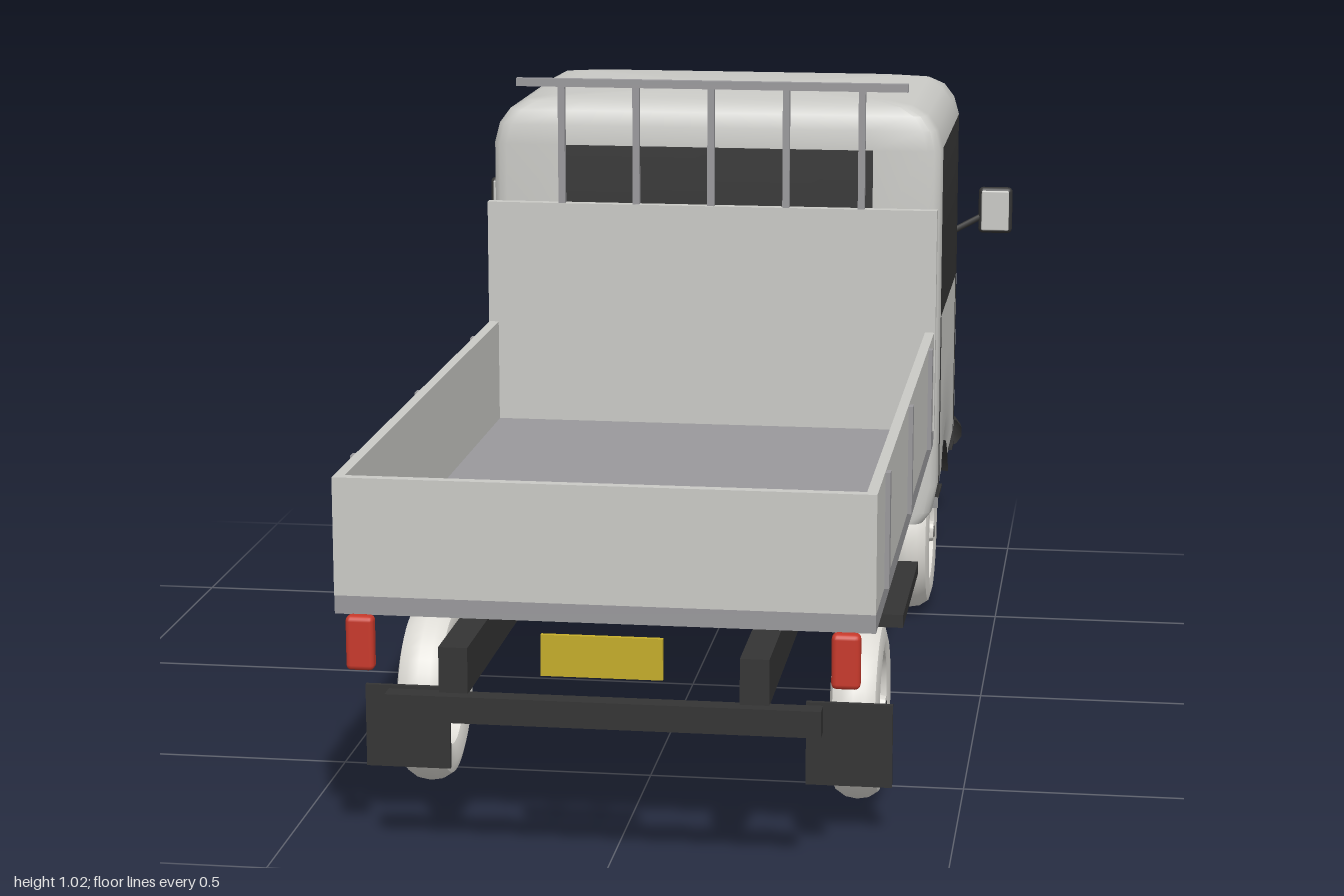
import * as THREE from 'three';
import { toCreasedNormals } from 'three/addons/utils/BufferGeometryUtils.js';
import { RoundedBoxGeometry } from 'three/addons/geometries/RoundedBoxGeometry.js';

const mat = (name, color, side = THREE.FrontSide) => {
  const m = new THREE.MeshStandardMaterial({ color, side });
  m.name = name;
  return m;
};
const paint = mat('body paint', 0xcacac6, THREE.DoubleSide);
const dark = mat('dark trim', 0x343434, THREE.DoubleSide);
const steel = mat('grey steel', 0x9a999c);
const white = mat('wheel white', 0xdedcd6);
const yellow = mat('yellow', 0xc5ad2a);
const red = mat('red lens', 0xc8392b);

// Cab shell: stacked horizontal rings [y, half width, rear z, front z]
const ROWS = [
  [0.23, 0.375, -0.29, -0.87], [0.25, 0.39, -0.29, -0.915], [0.3, 0.4, -0.29, -0.935],
  [0.46, 0.4, -0.29, -0.957], [0.6, 0.4, -0.29, -0.915], [0.75, 0.4, -0.29, -0.867],
  [0.905, 0.4, -0.29, -0.817], [0.94, 0.391, -0.292, -0.806], [0.965, 0.373, -0.3, -0.797],
  [0.98, 0.345, -0.315, -0.775], [0.986, 0.3, -0.34, -0.74], [0.987, 0, -0.54, -0.54],
];
const ARCH = { y: 0.155, z: -0.567, r: 0.165 };
const SIDE_Z = [-0.342, -0.421, -0.435, -0.46, -0.49, -0.53, -0.567, -0.604, -0.644, -0.674, -0.699, -0.713, -0.8];

function halfRing([y, w, zr, zf]) {
  const k = w / 0.4, pts = [[0, y, zr], [0.28 * k, y, zr]];
  for (let i = 0; i <= 3; i++) { // rear corner
    const a = (i / 3) * Math.PI / 2, r = 0.025 * k;
    pts.push([w - r + r * Math.sin(a), y, zr - r + r * Math.cos(a)]);
  }
  const zs = Math.max(-0.8, zf + 0.018 * k);
  for (const z of SIDE_Z) { // side, lifted over the wheel arch
    const d = ARCH.r ** 2 - (z - ARCH.z) ** 2;
    const b = Math.max(0.23, d > 0 ? ARCH.y + Math.sqrt(d) : 0);
    const yy = y < 0.6 ? 0.6 - (0.6 - y) * (0.6 - b) / 0.37 : y;
    pts.push([w, yy, Math.min(zr - 0.025 * k, Math.max(z, zs))]);
  }
  const taper = 0.17 * (zs - zf) * k;
  for (let i = 1; i <= 6; i++) { // front corner
    const t = i / 6, u = 1 - t;
    pts.push([u * u * w + 2 * u * t * (w - taper) + t * t * 0.34 * k, y,
      u * u * zs + 2 * u * t * (zf + 0.008 * k) + t * t * zf]);
  }
  pts.push([0, y, zf]);
  return pts;
}

function cabGeometry() {
  const rings = ROWS.map((row) => {
    const h = halfRing(row);
    return [...h, ...h.slice(1, -1).reverse().map(([x, y, z]) => [-x, y, z])];
  });
  const n = rings[0].length, last = n / 2 - 1;
  const shell = [], glass = [];
  for (let i = 0; i < rings.length - 1; i++) {
    for (let j = 0; j < n; j++) {
      const c = j <= last ? j : n - 1 - j, j2 = (j + 1) % n;
      const windowRow = i === 4 || i === 5;
      if (windowRow && c === last) continue; // open windscreen
      const isGlass = windowRow && (c === 0 || (c >= 6 && c < 6 + SIDE_Z.length - 1));
      const a = i * n + j, b = i * n + j2, e = b + n, d = a + n;
      (isGlass ? glass : shell).push(a, b, e, a, e, d);
    }
  }
  const g = new THREE.BufferGeometry();
  g.setAttribute('position', new THREE.Float32BufferAttribute(rings.flat(2), 3));
  g.setIndex([...shell, ...glass]);
  g.addGroup(0, shell.length, 0);
  g.addGroup(shell.length, glass.length, 1);
  return toCreasedNormals(g, 0.6);
}

export function createModel() {
  const root = new THREE.Group();
  root.name = 'flatbedTruck';
  const add = (name, geo, material, x = 0, y = 0, z = 0, parent = root) => {
    const m = new THREE.Mesh(geo, material);
    m.name = name;
    m.position.set(x, y, z);
    parent.add(m);
    return m;
  };
  // Box from its limits on each axis
  const box = (name, material, x0, x1, y0, y1, z0, z1) =>
    add(name, new THREE.BoxGeometry(x1 - x0, y1 - y0, z1 - z0), material, (x0 + x1) / 2, (y0 + y1) / 2, (z0 + z1) / 2);
  const both = (name, material, x0, x1, ...r) => {
    box(name + 'Left', material, x0, x1, ...r);
    box(name + 'Right', material, -x1, -x0, ...r);
  };
  const rounded = (name, material, w, h, d, r, x, y, z) =>
    add(name, new RoundedBoxGeometry(w, h, d, 2, r), material, x, y, z);
  const tube = (name, material, pts, r) => add(name, new THREE.TubeGeometry(
    new THREE.CatmullRomCurve3(pts.map((p) => new THREE.Vector3(...p))), 24, r, 10), material);

  // Cab and interior
  add('cabShell', cabGeometry(), [paint, dark]);
  box('cabUnderside', dark, -0.27, 0.27, 0.233, 0.335, -0.87, -0.3);
  box('frontFloor', dark, -0.368, 0.368, 0.233, 0.26, -0.868, -0.728);
  box('rearFloor', dark, -0.368, 0.368, 0.233, 0.26, -0.41, -0.3);
  box('cabFloor', dark, -0.385, 0.385, 0.33, 0.345, -0.87, -0.3);
  box('dashboard', dark, -0.36, 0.36, 0.48, 0.59, -0.895, -0.79);
  box('seatBase', dark, -0.36, 0.36, 0.345, 0.5, -0.6, -0.31);
  box('seatBack', dark, -0.36, 0.36, 0.5, 0.72, -0.37, -0.305);
  const steering = add('steeringWheel', new THREE.TorusGeometry(0.07, 0.009, 8, 24), dark, 0.17, 0.66, -0.72);
  steering.rotation.x = 1.05;
  add('steeringSpoke', new THREE.BoxGeometry(0.13, 0.02, 0.01), dark, 0, 0, 0, steering);
  tube('steeringColumn', dark, [[0.17, 0.66, -0.72], [0.17, 0.52, -0.82]], 0.012);

  // Nose details
  rounded('grilleSlot', dark, 0.24, 0.032, 0.02, 0.008, 0, 0.445, -0.954);
  tube('frontBumper', dark, [[-0.385, 0.27, -0.87], [-0.365, 0.27, -0.945], [-0.25, 0.27, -0.962], [0, 0.27, -0.967],
    [0.25, 0.27, -0.962], [0.365, 0.27, -0.945], [0.385, 0.27, -0.87]], 0.028);
  box('frontPlate', yellow, -0.09, 0.09, 0.245, 0.3, -1.0, -0.992);
  box('frontPlateMount', dark, -0.08, 0.08, 0.25, 0.295, -0.992, -0.97);

  for (const s of [1, -1]) {
    const side = s > 0 ? 'Left' : 'Right';
    rounded('headlampFrame' + side, dark, 0.11, 0.07, 0.03, 0.01, s * 0.285, 0.437, -0.952);
    rounded('headlampLens' + side, paint, 0.092, 0.053, 0.014, 0.005, s * 0.285, 0.437, -0.965);
    rounded('indicator' + side, yellow, 0.034, 0.066, 0.05, 0.008, s * 0.358, 0.437, -0.945);

    // Door seams
    const seam = (y, z, h, d) => add('doorSeam' + side, new THREE.BoxGeometry(0.01, h, d), dark, s * 0.3965, y, z);
    seam(0.435, -0.342, 0.33, 0.005);
    seam(0.435, -0.763, 0.33, 0.005);
    seam(0.272, -0.385, 0.005, 0.086);
    seam(0.272, -0.742, 0.005, 0.042);

    // Front wheel arch liner
    const liner = new THREE.CylinderGeometry(ARCH.r, ARCH.r, 0.13, 24, 1, true, 0.47, Math.PI - 0.94);
    add('wheelArch' + side, liner.rotateZ(Math.PI / 2), dark, s * 0.33, ARCH.y, ARCH.z);

    // Door mirror
    rounded('mirrorHousing' + side, dark, 0.064, 0.088, 0.02, 0.009, s * 0.472, 0.722, -0.803);
    rounded('mirrorFace' + side, paint, 0.052, 0.076, 0.006, 0.0025, s * 0.472, 0.722, -0.793);
    tube('mirrorArm' + side, dark, [[s * 0.39, 0.68, -0.795], [s * 0.45, 0.712, -0.803]], 0.006);

    // Tail lamp
    rounded('tailLamp' + side, red, 0.042, 0.082, 0.024, 0.008, s * 0.355, 0.352, 0.979);

    // Side stakes
    for (const z of [0.813, 0.363, -0.09]) add('sideStake' + side, new THREE.BoxGeometry(0.012, 0.175, 0.02), steel, s * 0.397, 0.505, z);
  }

  // Load bed
  box('bedFloor', steel, -0.396, 0.396, 0.39, 0.418, -0.246, 0.966);
  both('bedSide', paint, 0.38, 0.396, 0.418, 0.595, -0.225, 0.968);
  box('tailgate', paint, -0.396, 0.396, 0.418, 0.595, 0.952, 0.968);
  box('headboard', paint, -0.398, 0.398, 0.418, 0.81, -0.246, -0.228);

  // Ladder rack
  for (let i = -2; i <= 2; i++) box('rackPost', steel, i * 0.1325 - 0.006, i * 0.1325 + 0.006, 0.8, 1.016, -0.242, -0.23);
  box('rackRail', steel, -0.345, 0.345, 1.016, 1.03, -0.243, -0.229);

  // Chassis
  both('chassisRail', dark, 0.2, 0.243, 0.275, 0.345, -0.32, 0.966);
  box('rearCrossbar', dark, -0.32, 0.32, 0.236, 0.276, 0.955, 0.985);
  box('batteryBox', dark, -0.32, -0.16, 0.19, 0.322, -0.01, 0.255);
  box('rearPlate', yellow, -0.09, 0.089, 0.31, 0.372, 0.966, 0.974);
  both('rearFender', dark, 0.26, 0.415, 0.322, 0.342, 0.38, 0.695);
  both('mudFlap', dark, 0.274, 0.405, 0.085, 0.215, 0.738, 0.746);

  // Wheels: dished disc, tyre and hub in one turned profile
  const profile = [[0, 0], [0.08, 0], [0.086, -0.03], [0.11, -0.0385], [0.13, -0.033], [0.14, -0.018], [0.143, 0],
    [0.14, 0.018], [0.13, 0.033], [0.11, 0.0385], [0.09, 0.034], [0.082, 0.016], [0.04, 0.014], [0.032, 0.026],
    [0.02, 0.03], [0.018, 0.04], [0, 0.04]].map((p) => new THREE.Vector2(...p));
  const wheelGeo = toCreasedNormals(new THREE.LatheGeometry(profile, 40), 0.7).rotateZ(-Math.PI / 2);
  const boltGeo = new THREE.CylinderGeometry(0.007, 0.007, 0.012, 8).rotateZ(Math.PI / 2);
  const hubGeo = new THREE.CylinderGeometry(0.011, 0.011, 0.006, 16).rotateZ(Math.PI / 2);
  for (const [end, z] of [['front', -0.567], ['rear', 0.545]]) {
    for (const s of [1, -1]) {
      const wheel = new THREE.Group();
      wheel.name = end + 'Wheel' + (s > 0 ? 'Left' : 'Right');
      wheel.position.set(s * 0.339, 0.148, z);
      if (s < 0) wheel.rotation.y = Math.PI;
      root.add(wheel);
      add('tyreAndRim', wheelGeo, white, 0, 0, 0, wheel);
      add('hubCap', hubGeo, dark, 0.038, 0, 0, wheel);
      for (let i = 0; i < 6; i++) {
        const a = (i / 6) * Math.PI * 2;
        add('wheelBolt', boltGeo, dark, 0.013, 0.053 * Math.sin(a), 0.053 * Math.cos(a), wheel);
      }
    }
  }
  return root;
}
